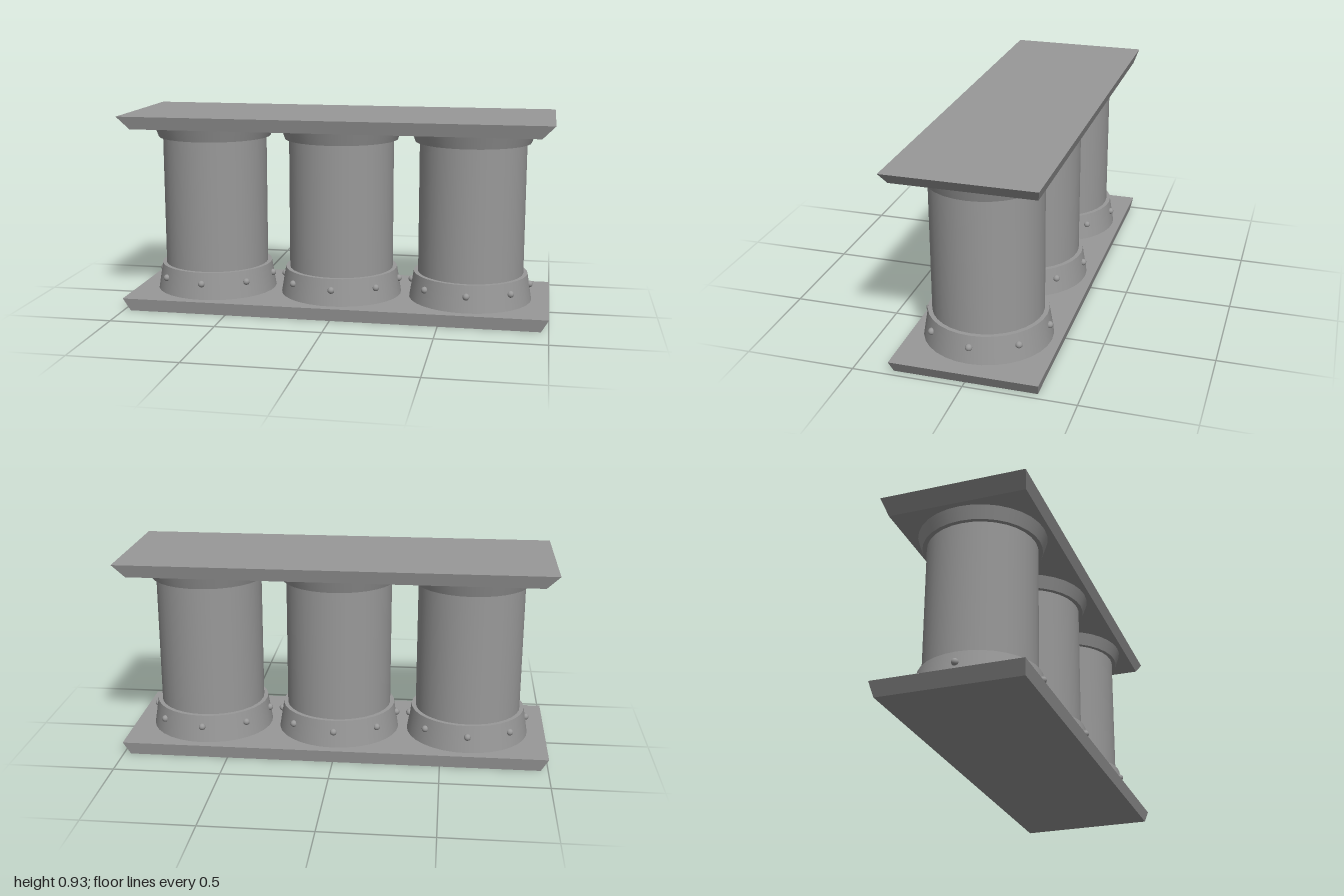
import * as THREE from 'three';

const stone = new THREE.MeshStandardMaterial({ color: 0x999999 });
stone.name = 'grey stone';

function addPart(parent, name, geometry, x, y, z) {
  const mesh = new THREE.Mesh(geometry, stone);
  mesh.name = name;
  mesh.position.set(x, y, z);
  parent.add(mesh);
  return mesh;
}

// Rectangular slab whose underside is smaller than its top
function slabGeometry(topX, topZ, bottomX, bottomZ, height) {
  const box = new THREE.BoxGeometry(2, height, 2);
  const p = box.attributes.position;
  for (let i = 0; i < p.count; i++) {
    const top = p.getY(i) > 0;
    p.setX(i, p.getX(i) * (top ? topX : bottomX));
    p.setZ(i, p.getZ(i) * (top ? topZ : bottomZ));
  }
  const flat = box.toNonIndexed();
  flat.computeVertexNormals();
  return flat;
}

export function createModel() {
  const model = new THREE.Group();
  model.name = 'colonnade';

  addPart(model, 'baseSlab', slabGeometry(1, 0.333, 0.966, 0.322, 0.06), 0, 0.03, 0);
  addPart(model, 'topSlab', slabGeometry(1, 0.333, 0.942, 0.315, 0.06), 0, 0.9, 0);

  const shaft = new THREE.CylinderGeometry(0.25, 0.25, 0.81, 32);
  const collar = new THREE.CylinderGeometry(0.27, 0.291, 0.127, 32);
  const capital = new THREE.CylinderGeometry(0.291, 0.27, 0.06, 32);
  const rivet = new THREE.SphereGeometry(0.016, 16, 12);

  for (const x of [-0.625, 0, 0.625]) {
    const column = new THREE.Group();
    column.name = 'column';
    column.position.x = x;
    model.add(column);

    addPart(column, 'shaft', shaft, 0, 0.465, 0);
    addPart(column, 'collar', collar, 0, 0.1235, 0);
    addPart(column, 'capital', capital, 0, 0.84, 0);

    // Ring of eight rivets around the collar
    for (let i = 0; i < 8; i++) {
      const a = (i * Math.PI) / 4;
      addPart(column, 'rivet', rivet, Math.sin(a) * 0.28, 0.135, Math.cos(a) * 0.28);
    }
  }
  return model;
}
